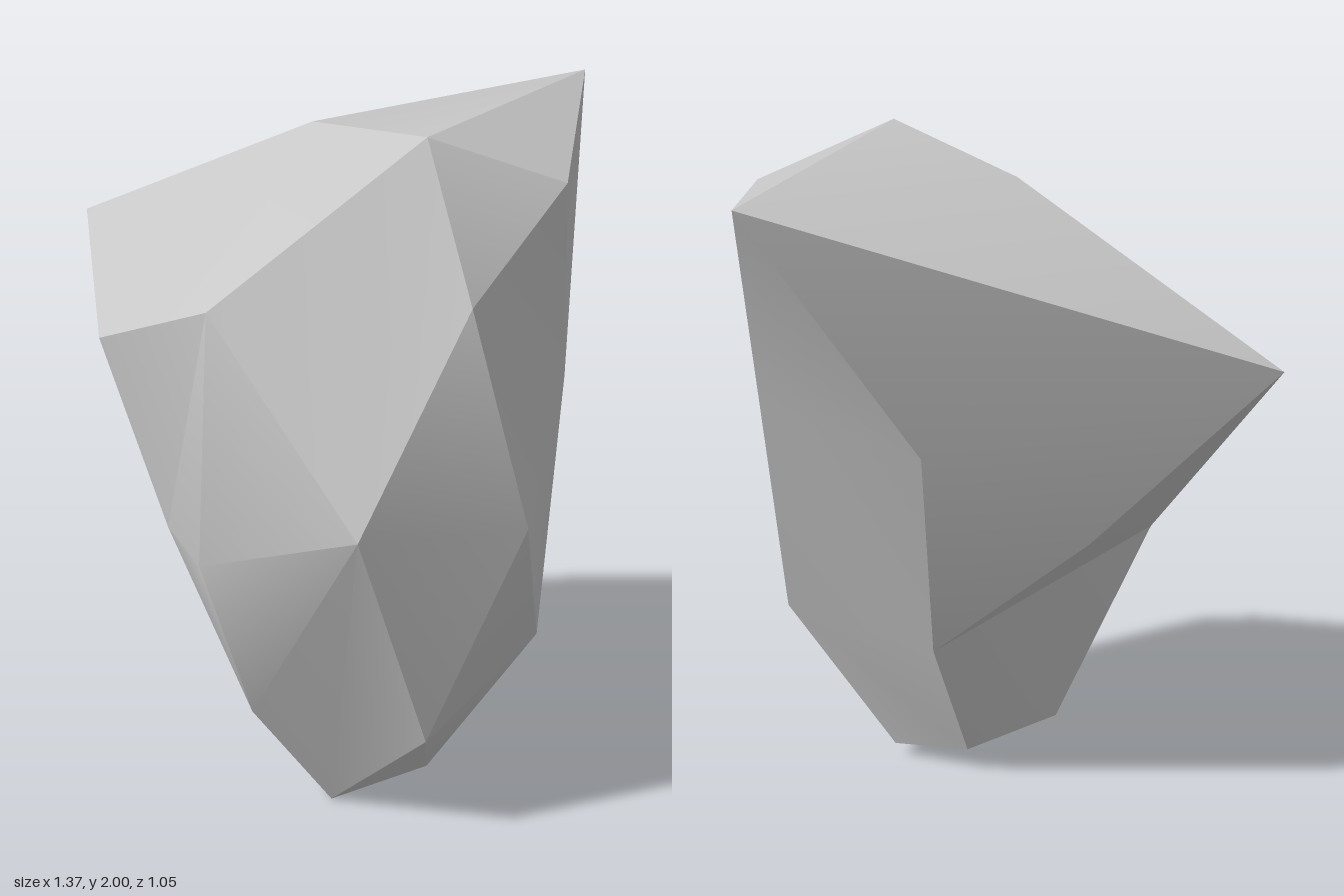
import * as THREE from 'three';
import { toCreasedNormals } from 'three/addons/utils/BufferGeometryUtils.js';

// Corners of the chipped boulder
const corners = {
  // foot
  P: [-0.045, 0, 0.22], Q: [0.235, 0.045, 0.14], W: [0.04, 0.08, 0.02], S: [-0.22, 0.175, 0.012],
  // lower flare
  O: [0.2, 0.335, 0.44], R: [-0.27, 0.39, 0.34], N: [0.53, 0.52, 0.2], U: [0.16, 0.52, -0.12],
  // belly
  I: [0.005, 1.02, 0.525], J: [0.465, 0.98, 0.41], K: [-0.405, 0.88, 0.375],
  L: [-0.485, 0.79, 0.005], V: [-0.235, 0.95, -0.33],
  // shoulder
  M: [0.6, 1.25, 0.055], T: [0.22, 1.25, -0.33], E: [-0.655, 1.325, -0.11],
  C: [-0.685, 1.525, -0.53], F: [-0.368, 1.535, 0.19], H: [0.305, 1.62, 0.39],
  // crown
  G: [0.57, 1.86, 0.16], D: [-0.07, 1.935, -0.12], B: [0.68, 1.985, -0.32], A: [0.205, 2, 0.17],
};

// Fans of facets: a hub corner and the rim that runs anticlockwise around it
const fans = [
  ['D', 'ABCEFA'],    // sloping top
  ['I', 'AFKRPOJHA'], // front
  ['G', 'AHMBA'],     // upper right shoulder
  ['H', 'JM'],        // hollow under the shoulder
  ['N', 'MJOQWUM'],   // lower right side
  ['L', 'FECVUSRKF'], // left side and undercut
  ['T', 'BMUVCB'],    // hollow back
  ['S', 'UW'],        // lower back
  ['P', 'RSWQO'],     // foot
];

export function createModel() {
  const group = new THREE.Group();
  group.name = 'rock';

  const positions = [];
  for (const [hub, rim] of fans) {
    for (let i = 0; i + 1 < rim.length; i++) {
      positions.push(...corners[hub], ...corners[rim[i]], ...corners[rim[i + 1]]);
    }
  }
  const facets = new THREE.BufferGeometry();
  facets.setAttribute('position', new THREE.Float32BufferAttribute(positions, 3));

  // Shallow facets blend softly, strong breaks stay sharp
  const geometry = toCreasedNormals(facets, THREE.MathUtils.degToRad(28));

  const stone = new THREE.MeshStandardMaterial({ color: 0xc8c8c8 });
  stone.name = 'pale grey stone';

  const boulder = new THREE.Mesh(geometry, stone);
  boulder.name = 'boulder';
  group.add(boulder);
  return group;
}
